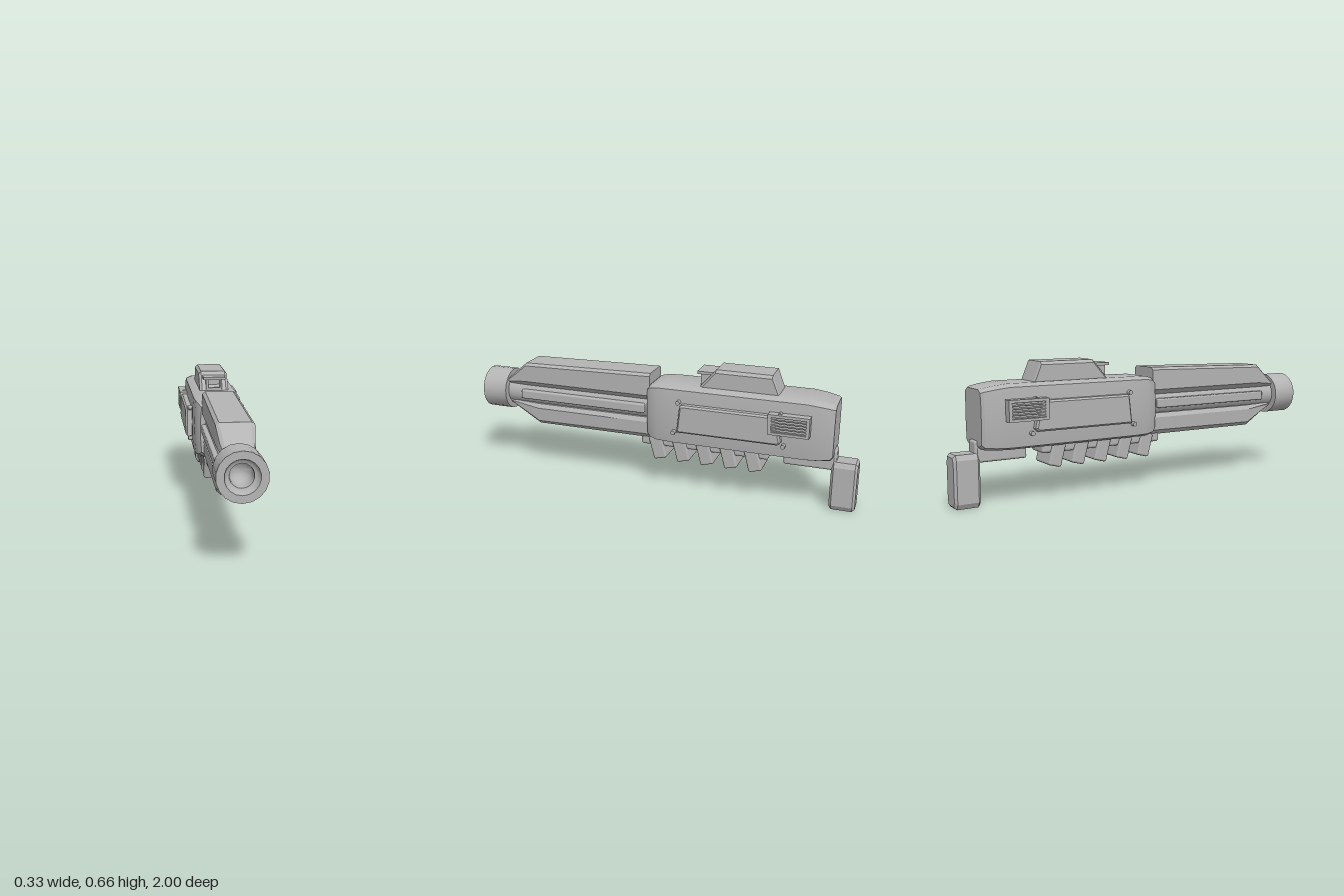
import * as THREE from 'three';
import { toCreasedNormals } from 'three/addons/utils/BufferGeometryUtils.js';
import { RoundedBoxGeometry } from 'three/addons/geometries/RoundedBoxGeometry.js';

const metal = new THREE.MeshStandardMaterial({ color: 0xb4b4b4 });
metal.name = 'grey metal';

// Skins mirrored half sections; each station is [z, [[x, y] from bottom to top]], back to front.
function loft(stations, crease = 0.5) {
  const rings = stations.map(([z, half]) => [
    ...half.map(([x, y]) => [x, y, z]),
    ...half.slice().reverse().map(([x, y]) => [-x, y, z]),
  ]);
  const n = rings[0].length, last = rings.length - 1, pos = [];
  const tri = (a, b, c) => pos.push(...a, ...b, ...c);
  for (let i = 0; i < last; i++) {
    for (let j = 0; j < n; j++) {
      const k = (j + 1) % n;
      tri(rings[i][j], rings[i][k], rings[i + 1][k]);
      tri(rings[i][j], rings[i + 1][k], rings[i + 1][j]);
    }
  }
  for (let j = 1; j < n - 1; j++) {
    tri(rings[0][0], rings[0][j + 1], rings[0][j]);
    tri(rings[last][0], rings[last][j], rings[last][j + 1]);
  }
  const g = new THREE.BufferGeometry();
  g.setAttribute('position', new THREE.Float32BufferAttribute(pos, 3));
  return toCreasedNormals(g, crease);
}

function add(parent, name, geometry, x = 0, y = 0, z = 0) {
  const mesh = new THREE.Mesh(geometry, metal);
  mesh.name = name;
  mesh.position.set(x, y, z);
  parent.add(mesh);
  return mesh;
}

// Box given by its extents along y and z, centred at x
function block(parent, name, x, w, y0, y1, z0, z1, r = 0) {
  const s = [w, y1 - y0, z1 - z0];
  const g = r ? new RoundedBoxGeometry(...s, 2, r) : new THREE.BoxGeometry(...s);
  return add(parent, name, g, x, (y0 + y1) / 2, (z0 + z1) / 2);
}

// Side plate outlined by [z, y] points, pushed out along +x
function plate(points, depth, bevel, hole) {
  const v = (p) => p.map(([z, y]) => new THREE.Vector2(-z, y));
  const shape = new THREE.Shape(v(points));
  if (hole) shape.holes.push(new THREE.Path(v(hole)));
  const g = new THREE.ExtrudeGeometry(shape, {
    depth, bevelEnabled: bevel > 0, bevelSize: bevel, bevelThickness: bevel, bevelOffset: -bevel, bevelSegments: 1,
  });
  return g.rotateY(Math.PI / 2);
}

const rect = (z0, z1, y0, y1) => [[z0, y0], [z1, y0], [z1, y1], [z0, y1]];

function sideDetails(name) {
  const side = new THREE.Group();
  side.name = name;
  // long raised panel with bolts around it
  add(side, 'sidePanel', plate(
    [[-0.115, 0.345], [-0.625, 0.345], [-0.64, 0.36], [-0.61, 0.49], [-0.14, 0.49], [-0.13, 0.48]], 0.035, 0.009), 0.115);
  for (const [z, y] of [[-0.12, 0.497], [-0.095, 0.338], [-0.63, 0.497], [-0.65, 0.338]]) {
    add(side, 'bolt', new THREE.CylinderGeometry(0.011, 0.011, 0.04, 10).rotateZ(Math.PI / 2), 0.128, y, z);
  }
  // louvred vent
  add(side, 'ventFrame', plate(rect(-0.575, -0.775, 0.4, 0.502), 0.05, 0, rect(-0.592, -0.76, 0.413, 0.488)), 0.115);
  block(side, 'ventBack', 0.13, 0.04, 0.405, 0.495, -0.77, -0.58);
  for (let i = 0; i < 5; i++) {
    const slat = block(side, 'ventSlat', 0.155, 0.016, 0.417 + i * 0.0145, 0.425 + i * 0.0145, -0.76, -0.592);
    slat.rotation.z = -0.3;
  }
  // rail along the barrel
  block(side, 'barrelRail', 0.075, 0.036, 0.4, 0.448, 0.08, 0.78, 0.008);
  return side;
}

export function createModel() {
  const model = new THREE.Group();
  model.name = 'blaster';

  // receiver with bulging sides and drawn-in ends
  const body = (z, w, y0, y1) => [z, [
    [w * 0.7, y0], [w * 0.94, y0 + 0.013], [w * 0.99, y0 + 0.07], [w, 0.42],
    [w * 0.985, y1 - 0.07], [w * 0.94, y1 - 0.015], [w * 0.68, y1]]];
  add(model, 'receiver', loft([
    body(-0.882, 0.098, 0.285, 0.548), body(-0.87, 0.11, 0.272, 0.553), body(-0.82, 0.121, 0.266, 0.562),
    body(-0.75, 0.127, 0.263, 0.57), body(-0.08, 0.127, 0.263, 0.57), body(0, 0.121, 0.264, 0.568),
    body(0.04, 0.11, 0.27, 0.56), body(0.06, 0.095, 0.285, 0.545)], 0.45));

  // barrel core
  add(model, 'barrel', new THREE.CylinderGeometry(0.075, 0.075, 0.85, 20).rotateX(Math.PI / 2), 0, 0.423, 0.455);

  // upper and lower shrouds with sloping noses
  add(model, 'upperShroud', loft([
    [0.05, [[0.065, 0.47], [0.085, 0.495], [0.085, 0.597], [0.07, 0.61]]],
    [0.75, [[0.065, 0.47], [0.085, 0.495], [0.085, 0.582], [0.07, 0.595]]],
    [0.82, [[0.06, 0.47], [0.078, 0.49], [0.075, 0.525], [0.06, 0.537]]],
    [0.87, [[0.055, 0.47], [0.065, 0.48], [0.063, 0.488], [0.055, 0.495]]]], 0.2));
  add(model, 'lowerShroud', loft([
    [0.05, [[0.06, 0.262], [0.077, 0.285], [0.079, 0.35], [0.065, 0.372]]],
    [0.69, [[0.06, 0.262], [0.077, 0.28], [0.079, 0.35], [0.065, 0.372]]],
    [0.86, [[0.045, 0.357], [0.055, 0.362], [0.06, 0.37], [0.055, 0.376]]]], 0.2));

  // muzzle ring with a rounded lip and a bowl-shaped bore
  const profile = [
    [0, 0.866], [0.109, 0.866], [0.109, 1], [0.075, 1], [0.071, 0.985], [0.062, 0.975],
    [0.052, 0.973], [0.05, 0.96], [0.05, 0.925], [0.043, 0.905], [0.025, 0.89], [0, 0.885],
  ].map(([r, z]) => new THREE.Vector2(r, z));
  add(model, 'muzzle', toCreasedNormals(new THREE.LatheGeometry(profile, 18).rotateX(Math.PI / 2), 0.7), 0, 0.423, 0);

  // scope housing on top
  const hump = (z, y1) => [z, [[0.077, 0.55], [0.077, Math.max(0.552, y1 - 0.015)], [0.064, Math.max(0.555, y1)]]];
  add(model, 'scopeHousing', loft([hump(-0.61, 0.56), hump(-0.57, 0.663), hump(-0.29, 0.663), hump(-0.21, 0.57)], 0.2));
  // hooded scope window
  block(model, 'scopeHood', 0, 0.116, 0.63, 0.644, -0.31, -0.192);
  block(model, 'scopeWindow', 0, 0.07, 0.56, 0.632, -0.31, -0.235);
  block(model, 'scopeSill', 0, 0.084, 0.56, 0.585, -0.31, -0.207);
  for (const s of [-1, 1]) block(model, 'scopePost', s * 0.037, 0.012, 0.56, 0.632, -0.31, -0.207);

  // fore grip: bar with five slanted ribs
  block(model, 'gripBar', 0, 0.128, 0.222, 0.275, -0.565, 0.105, 0.014);
  for (let i = 0; i < 5; i++) {
    const rib = add(model, 'gripRib', new RoundedBoxGeometry(0.154, 0.12, 0.07, 1, 0.01), 0, 0.215, 0.012 - i * 0.1255);
    rib.rotation.x = 0.26;
  }

  // rear mount and handle
  block(model, 'handleMount', 0, 0.09, 0.207, 0.28, -0.885, -0.637, 0.012);
  block(model, 'handleBracket', 0, 0.08, 0.22, 0.31, -0.895, -0.8, 0.012);
  const handle = (z, w, y0, y1) => [z, [[w * 0.75, y0], [w, y0 + 0.025], [w, y1 - 0.025], [w * 0.75, y1]]];
  add(model, 'handle', loft([
    handle(-1, 0.043, 0.012, 0.24), handle(-0.988, 0.054, 0, 0.253),
    handle(-0.885, 0.054, 0, 0.253), handle(-0.873, 0.043, 0.012, 0.24)], 0.2));

  // matching details on both sides
  const left = sideDetails('leftDetails');
  const right = sideDetails('rightDetails');
  right.scale.x = -1;
  model.add(left, right);
  return model;
}
